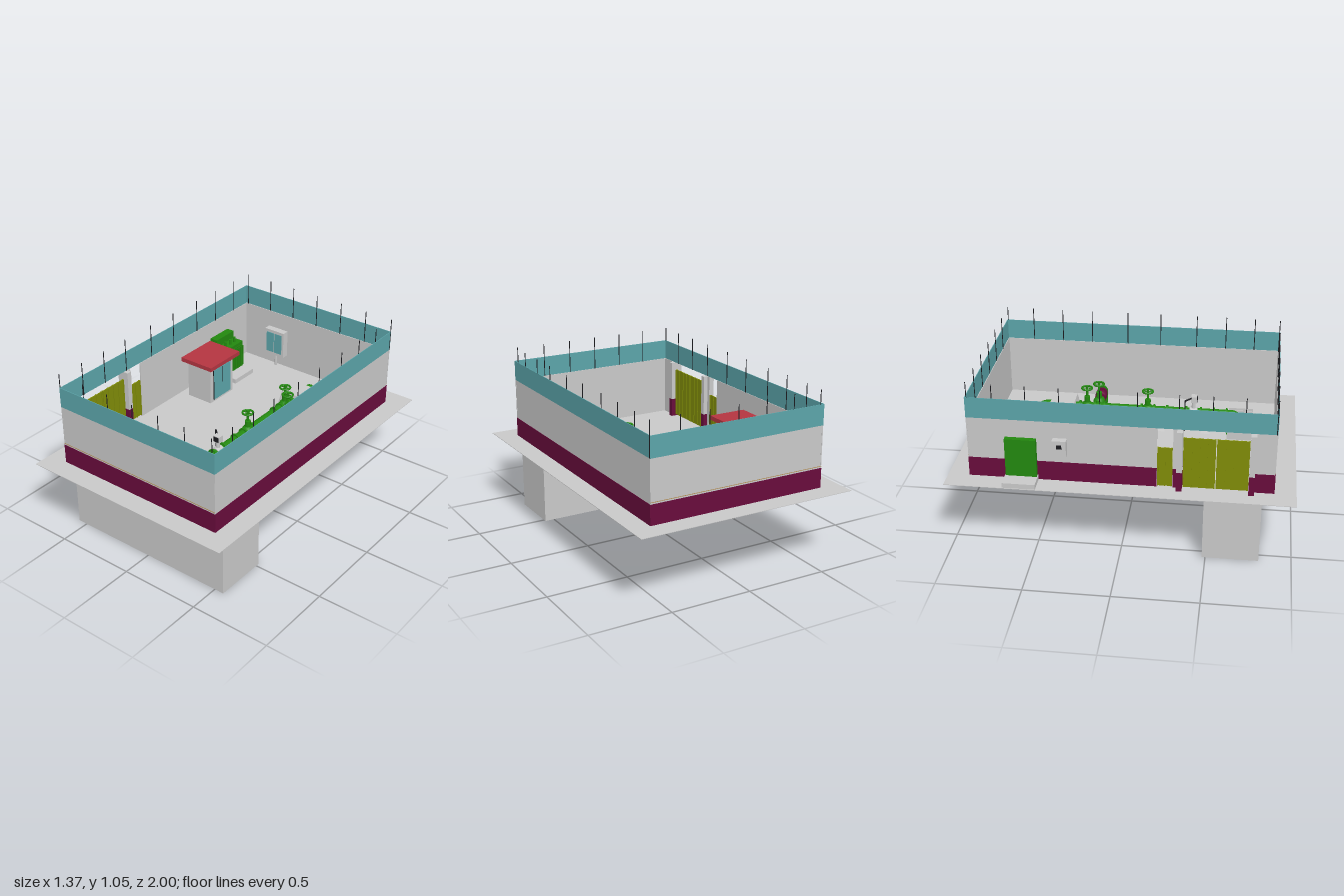
import * as THREE from 'three';

const mat = (name, color) => {
  const m = new THREE.MeshStandardMaterial({ color, side: THREE.DoubleSide });
  m.name = name;
  return m;
};

export function createModel() {
  const grey = mat('concrete grey', 0xc9c9c9);
  const maroon = mat('maroon paint', 0x680c3c);
  const teal = mat('teal panel', 0x5ba4a9);
  const red = mat('red roof', 0xb43541);
  const green = mat('pipe green', 0x23880f);
  const olive = mat('gate olive', 0x808c08);
  const black = mat('black metal', 0x1c1c20);
  const tan = mat('tan line', 0xb08a50);

  const model = new THREE.Group();
  const group = (name, parent = model) => {
    const g = new THREE.Group();
    g.name = name;
    parent.add(g);
    return g;
  };
  const add = (parent, name, geo, m) => {
    const mesh = new THREE.Mesh(geo, m);
    mesh.name = name;
    parent.add(mesh);
    return mesh;
  };
  // Box given by its extents on each axis
  const box = (p, name, m, x0, x1, y0, y1, z0, z1) => {
    const b = add(p, name, new THREE.BoxGeometry(x1 - x0, y1 - y0, z1 - z0), m);
    b.position.set((x0 + x1) / 2, (y0 + y1) / 2, (z0 + z1) / 2);
    return b;
  };
  // Cylinder between two points
  const rod = (p, name, m, a, b, r, sides = 16) => {
    const A = new THREE.Vector3(...a), B = new THREE.Vector3(...b);
    const d = B.clone().sub(A);
    const c = add(p, name, new THREE.CylinderGeometry(r, r, d.length(), sides), m);
    c.position.copy(A).add(B).multiplyScalar(0.5);
    c.quaternion.setFromUnitVectors(new THREE.Vector3(0, 1, 0), d.normalize());
    return c;
  };
  // Block with sloping sides
  const taper = (p, name, m, x, y0, y1, z, w0, d0, w1, d1) => {
    const geo = new THREE.BoxGeometry(1, y1 - y0, 1);
    const q = geo.attributes.position;
    for (let i = 0; i < q.count; i++) {
      const top = q.getY(i) > 0;
      q.setX(i, q.getX(i) * (top ? w1 : w0));
      q.setZ(i, q.getZ(i) * (top ? d1 : d0));
    }
    geo.computeVertexNormals();
    add(p, name, geo, m).position.set(x, (y0 + y1) / 2, z);
  };

  const G = 0.465, BAND = 0.585, TOP = 0.84, FENCE = 0.965;
  const X = 0.56, Z = 0.875, T = 0.008;

  // Ground slab and buried chamber
  box(model, 'groundSlab', grey, -0.685, 0.685, G - 0.003, G, -1, 1);
  box(model, 'buriedChamber', grey, -X, X, 0, G - 0.003, 0.48, 0.81);

  // Perimeter walls: grey body, maroon plinth outside, teal fence above
  const walls = group('perimeterWalls');
  for (const s of [-1, 1]) {
    const span = (a, b) => [Math.min(s * a, s * b), Math.max(s * a, s * b)];
    box(walls, 'endWall', grey, -X, X, G, TOP, ...span(Z - T, Z - 0.001));
    box(walls, 'endPlinth', maroon, -X, X, G, BAND, ...span(Z - 0.002, Z + 0.001));
    box(walls, 'endLine', tan, -X, X, 0.594, 0.597, ...span(Z - 0.002, Z + 0.001));
    box(walls, 'endFence', teal, -X, X, TOP, FENCE, ...span(Z - 0.004, Z));
    box(walls, 'sideFence', teal, ...span(X - 0.004, X), TOP, FENCE, -Z, Z);
    // The -x side is interrupted by the wicket and the gate
    const runs = s > 0 ? [[-Z, Z]] : [[-Z, 0.21], [0.3, 0.34], [0.745, Z]];
    for (const [a, b] of runs) {
      box(walls, 'sideWall', grey, ...span(X - T, X - 0.001), G, TOP, a, b);
      box(walls, 'sidePlinth', maroon, ...span(X - 0.002, X + 0.001), G, BAND, a, b);
    }
  }

  // Thin fence posts all around
  const posts = group('fencePosts');
  const post = (x, z) => rod(posts, 'fencePost', black, [x, TOP, z], [x, 1.05, z], 0.0025, 6);
  for (let i = 0; i < 7; i++) {
    post(-X + i * 0.183, Z - 0.006);
    post(X - i * 0.183, -Z + 0.006);
  }
  for (const z of [0.705, 0.525, 0.34, 0.11, -0.1, -0.33, -0.52, -0.71]) {
    post(X - 0.006, z + 0.01);
    post(-X + 0.006, z - 0.01);
  }

  // Gate, wicket and pillars
  const gate = group('gate');
  for (const z of [0.338, 0.745]) {
    box(gate, 'pillarBase', maroon, -0.6, -0.525, G, BAND, z - 0.016, z + 0.016);
    box(gate, 'pillar', grey, -0.6, -0.525, BAND, TOP, z - 0.016, z + 0.016);
  }
  for (const [a, b] of [[0.357, 0.539], [0.544, 0.727]]) {
    box(gate, 'gateLeaf', olive, -0.563, -0.557, 0.475, 0.79, a, b);
    for (let i = 0; i <= 4; i++) {
      const z = a + 0.004 + (b - a - 0.008) * i / 4;
      box(gate, 'gateRib', olive, -0.567, -0.553, 0.475, 0.79, z - 0.003, z + 0.003);
    }
  }
  box(gate, 'wicketDoor', olive, -0.563, -0.557, 0.475, 0.72, 0.212, 0.298);
  for (const z of [0.216, 0.255, 0.294])
    box(gate, 'wicketRib', olive, -0.567, -0.553, 0.475, 0.72, z - 0.003, z + 0.003);

  // Meter box on the outside wall
  const meter = group('meterBox');
  box(meter, 'meterCase', grey, -0.598, -X, 0.64, 0.74, -0.38, -0.3);
  box(meter, 'meterWindow', black, -0.6, -0.597, 0.69, 0.715, -0.355, -0.325);

  // Transformer set through the wall on its pad
  const transformer = group('transformer');
  box(transformer, 'pad', grey, -0.68, -0.34, G, 0.495, -0.66, -0.47);
  box(transformer, 'outerCabinet', green, -0.59, -0.5, 0.495, 0.73, -0.655, -0.475);
  box(transformer, 'tank', green, -0.5, -0.425, 0.495, 0.68, -0.655, -0.475);
  for (let i = 0; i < 8; i++)
    box(transformer, 'coolingFin', green, -0.425, -0.403, 0.52, 0.66, -0.637 + i * 0.018, -0.629 + i * 0.018);
  for (const z of [-0.61, -0.565, -0.52])
    rod(transformer, 'bushing', green, [-0.46, 0.68, z], [-0.46, 0.715, z], 0.009, 10);

  // Small control hut with a red roof
  const hut = group('controlHut');
  box(hut, 'hutBody', grey, -0.49, -0.31, G, 0.715, -0.4, -0.17);
  box(hut, 'hutRoof', red, -0.52, -0.28, 0.715, 0.742, -0.43, -0.14);
  box(hut, 'hutDoor', teal, -0.311, -0.305, 0.48, 0.69, -0.37, -0.2);
  for (const z of [-0.37, -0.285, -0.2])
    box(hut, 'doorFrame', black, -0.311, -0.304, 0.48, 0.69, z - 0.001, z + 0.001);

  // Glazed panel on a pole by the rear wall
  const panel = group('instrumentPanel');
  box(panel, 'panelCase', grey, -0.36, -0.21, 0.55, 0.73, -0.866, -0.82);
  for (const x of [-0.345, -0.282])
    box(panel, 'panelDoor', teal, x, x + 0.057, 0.57, 0.71, -0.821, -0.817);
  rod(panel, 'panelPole', grey, [-0.285, G, -0.845], [-0.285, 0.55, -0.845], 0.008, 10);

  // Main pipe run
  const pipes = group('pipework');
  const PX = 0.175, PY = 0.57, R = 0.025;
  const tube = (name, pts) => add(pipes, name, new THREE.TubeGeometry(
    new THREE.CatmullRomCurve3(pts.map(p => new THREE.Vector3(...p)), false, 'centripetal'), 32, R, 16), green);
  rod(pipes, 'mainPipe', green, [PX, PY, -0.52], [PX, PY, 0.6], R);
  tube('frontElbow', [[PX, PY, 0.58], [PX, PY, 0.605], [PX, PY - 0.012, 0.628], [PX, PY - 0.04, 0.64], [PX, 0.48, 0.64]]);
  tube('rearElbow', [[PX, PY, -0.5], [PX, PY, -0.56], [PX, PY - 0.015, -0.587], [PX, PY - 0.045, -0.6], [PX, 0.425, -0.6]]);
  taper(pipes, 'rearOutlet', green, PX, 0.42, G, -0.6, 0.006, 0.006, 0.07, 0.08);
  for (const z of [-0.345, -0.25, -0.19, 0.04, 0.12, 0.2, 0.32, 0.41, 0.49, 0.57])
    rod(pipes, 'flange', green, [PX, PY, z - 0.006], [PX, PY, z + 0.006], 0.034);

  // Side branch with its maroon valve
  const BZ = -0.235;
  rod(pipes, 'branchPipe', green, [PX, PY, BZ], [0.42, PY, BZ], 0.022);
  tube('branchElbow', [[0.4, PY, BZ], [0.42, PY, BZ], [0.437, PY - 0.012, BZ], [0.445, PY - 0.04, BZ], [0.445, G, BZ]]);
  for (const x of [0.23, 0.26, 0.4])
    rod(pipes, 'branchFlange', green, [x - 0.005, PY, BZ], [x + 0.005, PY, BZ], 0.034);
  const branchValve = add(pipes, 'branchValve', new THREE.SphereGeometry(0.037, 16, 12), maroon);
  branchValve.position.set(0.33, PY, BZ);
  for (const x of [0.29, 0.37])
    rod(pipes, 'valveFlange', maroon, [x - 0.007, PY, BZ], [x + 0.007, PY, BZ], 0.035);

  // Gate valves with handwheels
  const valve = (x, z) => {
    const v = group('gateValve', pipes);
    add(v, 'valveBody', new THREE.SphereGeometry(0.038, 16, 12), green).position.set(x, PY, z);
    rod(v, 'valveBonnet', green, [x, PY, z], [x, 0.64, z], 0.018);
    rod(v, 'valveStem', green, [x, 0.63, z], [x, 0.71, z], 0.007, 8);
    const wheel = add(v, 'handwheel', new THREE.TorusGeometry(0.032, 0.006, 8, 20), green);
    wheel.rotation.x = Math.PI / 2;
    wheel.position.set(x, 0.695, z);
    for (const [dx, dz] of [[0.03, 0], [0, 0.03]])
      rod(v, 'wheelSpoke', green, [x - dx, 0.695, z - dz], [x + dx, 0.695, z + dz], 0.004, 6);
  };
  valve(PX, -0.3);
  valve(PX, 0.08);
  valve(0.24, BZ);

  // Flow meter on the pipe and its sampling pole
  const flow = group('flowMeter');
  rod(flow, 'meterCollar', grey, [PX, PY, 0.34], [PX, PY, 0.39], 0.031);
  rod(flow, 'meterNeck', grey, [PX, PY, 0.365], [PX, 0.65, 0.365], 0.012, 12);
  box(flow, 'meterHead', grey, 0.155, 0.2, 0.64, 0.68, 0.35, 0.385);
  box(flow, 'meterFace', black, 0.16, 0.195, 0.645, 0.675, 0.384, 0.388);
  rod(flow, 'meterArm', black, [PX, 0.67, 0.365], [0.12, 0.67, 0.315], 0.005, 8);
  rod(flow, 'samplePole', black, [0.12, 0.38, 0.315], [0.12, 0.67, 0.315], 0.004, 8);
  box(flow, 'sampleSocket', grey, 0.108, 0.132, 0.41, G, 0.304, 0.328);

  // Concrete pipe supports with footings below ground
  const supports = group('pipeSupports');
  for (const z of [-0.155, 0.165, 0.445]) {
    box(supports, 'footing', grey, 0.09, 0.255, 0.44, G, z - 0.028, z + 0.028);
    taper(supports, 'saddle', grey, PX, G, 0.565, z, 0.165, 0.055, 0.07, 0.045);
  }
  taper(supports, 'anchorBlock', grey, 0.18, G, 0.61, -0.45, 0.22, 0.2, 0.16, 0.15);

  // Inlet sump under the front elbow
  const sump = group('inletSump');
  box(sump, 'sumpBox', green, 0.1, 0.25, G, 0.51, 0.575, 0.71);
  for (const z of [0.58, 0.705])
    box(sump, 'sumpRim', green, 0.095, 0.265, 0.51, 0.525, z - 0.006, z + 0.006);
  for (const [x, s] of [[0.065, 1], [0.295, -1]]) {
    box(sump, 'sideSlab', grey, x - 0.025, x + 0.025, G, 0.545, 0.58, 0.73);
    box(sump, 'sideLedge', grey, x + s * 0.005 - 0.015, x + s * 0.005 + 0.015, 0.545, 0.56, 0.58, 0.73);
  }
  return model;
}
